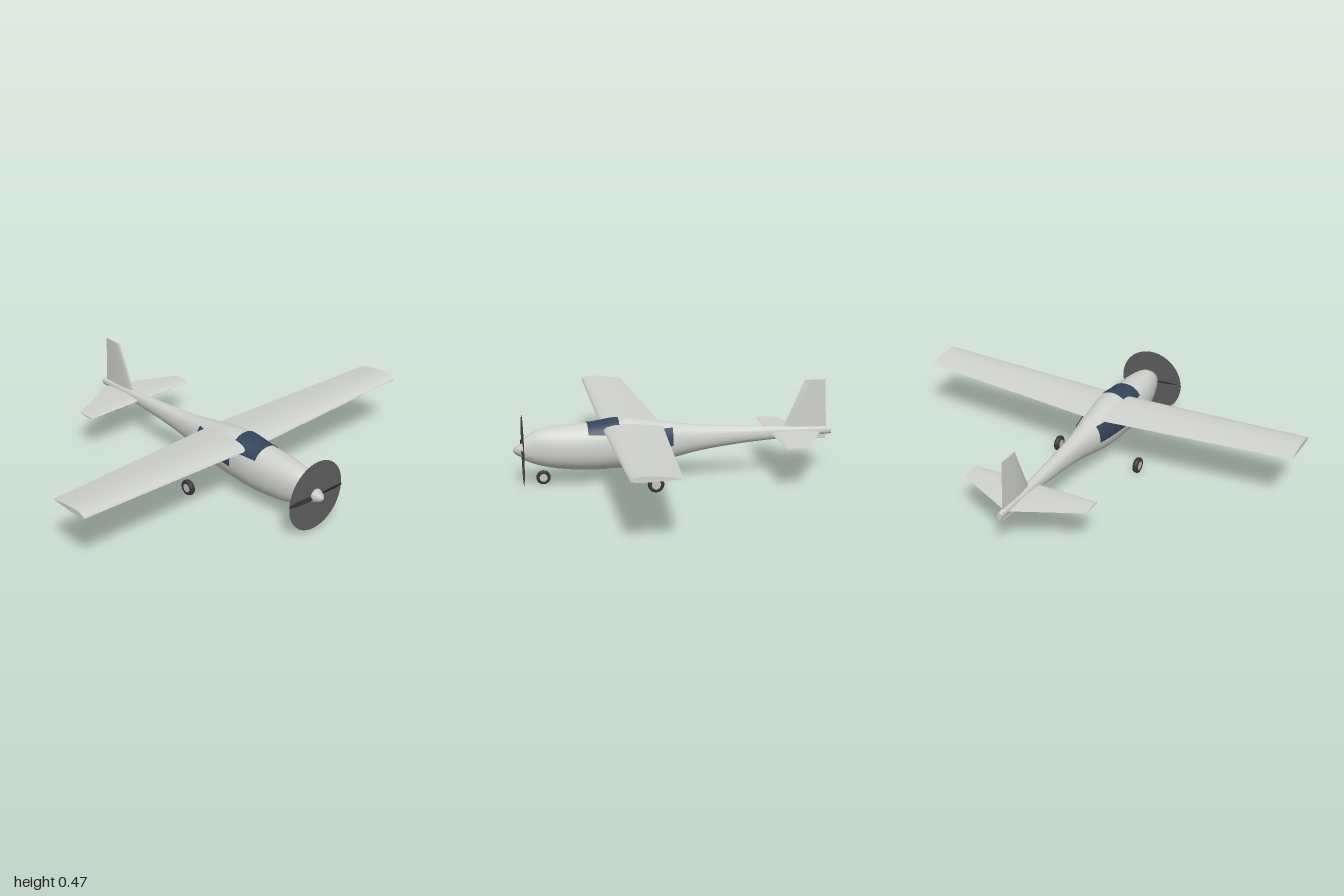
import * as THREE from 'three';
import { toCreasedNormals } from 'three/addons/utils/BufferGeometryUtils.js';
import { ParametricGeometry } from 'three/addons/geometries/ParametricGeometry.js';

const V = (x, y, z) => new THREE.Vector3(x, y, z);

function paint(name, color, side = THREE.FrontSide) {
  const m = new THREE.MeshStandardMaterial({ color, side });
  m.name = name;
  return m;
}

// Fuselage stations: z, top y, bottom y, half width
const STATIONS = [
  [-0.785, 0.225, 0.190, 0.012], [-0.6, 0.235, 0.180, 0.020], [-0.4, 0.245, 0.167, 0.030],
  [-0.2, 0.256, 0.146, 0.041], [-0.1, 0.264, 0.130, 0.049], [0, 0.277, 0.108, 0.064],
  [0.1, 0.294, 0.085, 0.081], [0.2, 0.309, 0.073, 0.091], [0.3, 0.311, 0.067, 0.096],
  [0.4, 0.296, 0.065, 0.096], [0.5, 0.290, 0.070, 0.091], [0.6, 0.282, 0.083, 0.077],
  [0.68, 0.264, 0.103, 0.056], [0.735, 0.228, 0.126, 0.036],
];
const profile = new THREE.CubicInterpolant(
  STATIONS.map(s => s[0]), STATIONS.flatMap(s => s.slice(1)), 3, new Float32Array(3));
const POWER = 2 / 2.2;

// Point on the rounded fuselage skin, pushed out by gap
function skin(z, angle, gap = 0) {
  const [top, bottom, half] = profile.evaluate(z);
  const c = Math.cos(angle), s = Math.sin(angle);
  return V(
    Math.sign(c) * Math.abs(c) ** POWER * (half + gap),
    (top + bottom) / 2 + Math.sign(s) * Math.abs(s) ** POWER * ((top - bottom) / 2 + gap), z);
}

// Angle at which the skin reaches height y
function angleAt(z, y) {
  const [top, bottom] = profile.evaluate(z);
  const k = THREE.MathUtils.clamp((2 * y - top - bottom) / (top - bottom), -1, 1);
  return Math.asin(Math.sign(k) * Math.abs(k) ** (1 / POWER));
}

// Closed solid through rings of equal length, with end caps facing outwards
function loft(rings, crease = 0.7) {
  const n = rings[0].length, pts = rings.flat(), index = [];
  for (let r = 0; r < rings.length - 1; r++) {
    for (let i = 0; i < n; i++) {
      const a = r * n + i, b = r * n + (i + 1) % n;
      index.push(a, b, a + n, b, b + n, a + n);
    }
  }
  [0, rings.length - 1].forEach((r, end) => {
    const mid = pts.length;
    pts.push(rings[r].reduce((sum, p) => sum.add(p), V(0, 0, 0)).divideScalar(n));
    for (let i = 0; i < n; i++) {
      const a = r * n + i, b = r * n + (i + 1) % n;
      index.push(...(end ? [mid, a, b] : [mid, b, a]));
    }
  });
  let volume = 0;
  for (let i = 0; i < index.length; i += 3) {
    volume += pts[index[i]].dot(V(0, 0, 0).crossVectors(pts[index[i + 1]], pts[index[i + 2]]));
  }
  if (volume < 0) index.reverse();
  const geo = new THREE.BufferGeometry().setFromPoints(pts);
  geo.setIndex(index);
  return toCreasedNormals(geo, crease);
}

// Aerofoil ring: place(u, h) gets chord fraction and height in chord lengths
function aerofoil(thick, upper, lower, place, steps = 14) {
  const ring = [];
  for (let i = 0; i < steps * 2; i++) {
    const u = (1 - Math.cos(Math.PI * i / steps)) / 2;
    const h = 5 * thick * (0.2969 * Math.sqrt(u) - 0.126 * u - 0.3516 * u ** 2
      + 0.2843 * u ** 3 - 0.1036 * u ** 4);
    ring.push(place(u, i <= steps ? h * upper : -h * lower));
  }
  return ring;
}

export function createModel() {
  const model = new THREE.Group();
  model.name = 'lightAircraft';
  const body = paint('body grey', 0xd0d2ce);
  const glass = paint('window blue', 0x34455a, THREE.DoubleSide);
  const discGrey = paint('disc grey', 0x5e5e60, THREE.DoubleSide);
  const dark = paint('propeller black', 0x303032);
  const rubber = paint('tyre black', 0x38383a);
  const metal = paint('hub grey', 0xc4c4c4);

  function add(name, geo, mat, parent = model) {
    const mesh = new THREE.Mesh(geo, mat);
    mesh.name = name;
    parent.add(mesh);
    return mesh;
  }

  // Fuselage
  const rings = [];
  for (let i = 0; i <= 56; i++) {
    const z = -0.785 + 1.52 * i / 56;
    rings.push(Array.from({ length: 40 }, (_, k) => skin(z, k / 40 * Math.PI * 2)));
  }
  add('fuselage', loft(rings), body);

  // Windscreen wraps over the top; side windows sit under the wing
  add('windscreen', new ParametricGeometry((u, v, out) => {
    const z = 0.28 + 0.15 * v, a = angleAt(z, 0.25);
    out.copy(skin(z, a + (Math.PI - 2 * a) * u, 0.003));
  }, 32, 8), glass);
  for (const side of [1, -1]) {
    add(side > 0 ? 'leftWindow' : 'rightWindow', new ParametricGeometry((u, v, out) => {
      const z = 0.02 + 0.26 * v;
      const y = THREE.MathUtils.lerp(0.18 - 0.012 * v, 0.262, u);
      out.copy(skin(z, angleAt(z, y), 0.004));
      out.x *= side;
    }, 10, 16), glass);
  }

  // Wing: straight leading edge, swept trailing edge, slight dihedral
  add('wing', loft([-1, 0, 1].map(x => {
    const s = Math.abs(x), chord = 0.294 - 0.076 * s;
    return aerofoil(0.12, 1.4, 0.6, (u, h) =>
      V(x, 0.266 + 0.03 * s + h * chord + 0.006 * u * (1 - s), 0.358 - u * chord));
  })), body);

  // Tailplane
  add('tailplane', loft([-0.32, 0, 0.32].map(x => {
    const s = Math.abs(x) / 0.32, chord = 0.257 - 0.155 * s;
    return aerofoil(0.075, 1, 1, (u, h) => V(x, 0.205 + h * chord, -0.478 - u * chord));
  })), body);

  // Fin: height, leading edge z, trailing edge z
  add('fin', loft([[0.167, -0.59, -0.76], [0.235, -0.542, -0.76], [0.465, -0.645, -0.75]]
    .map(([y, front, back]) => aerofoil(0.08, 1, 1, (u, h) =>
      V(h * (front - back), y, front + (back - front) * u)))), body);

  // Propeller with spinner, two twisted blades and spinning disc
  const propeller = new THREE.Group();
  propeller.name = 'propeller';
  propeller.position.set(0, 0.173, 0.738);
  model.add(propeller);
  const nose = [[0.034, -0.006], [0.033, 0.004], [0.028, 0.018], [0.019, 0.033], [0.009, 0.043], [0, 0.047]];
  add('spinner', new THREE.LatheGeometry(nose.map(p => new THREE.Vector2(...p)), 28)
    .rotateX(Math.PI / 2), metal, propeller);
  add('propellerDisc', new THREE.CircleGeometry(0.17, 56), discGrey, propeller);
  const blade = loft([[0.01, 0.022, 0.9], [0.06, 0.026, 0.6], [0.12, 0.022, 0.35], [0.17, 0.01, 0.2]]
    .map(([x, chord, twist]) => aerofoil(0.16, 1, 1, (u, h) => {
      const a = (u - 0.5) * chord, b = h * chord;
      return V(x, a * Math.cos(twist) - b * Math.sin(twist), 0.003 + a * Math.sin(twist) + b * Math.cos(twist));
    }, 6)));
  for (const turn of [0, Math.PI]) {
    add('propellerBlade', blade, dark, propeller).rotation.z = turn - 0.03;
  }

  // Wheels: rounded tyre with a hub showing on both sides
  function wheel(name, x, z, r, half) {
    const group = new THREE.Group();
    group.name = name;
    group.position.set(x, r, z);
    model.add(group);
    const tyre = [[0.5, -0.8], [0.75, -1], [0.92, -0.75], [1, -0.3], [1, 0.3], [0.92, 0.75], [0.75, 1], [0.5, 0.8]]
      .map(([a, b]) => new THREE.Vector2(a * r, b * half));
    add('tyre', new THREE.LatheGeometry(tyre, 28).rotateZ(Math.PI / 2), rubber, group);
    add('hub', new THREE.CylinderGeometry(r * 0.56, r * 0.56, half * 1.7, 24)
      .rotateZ(Math.PI / 2), metal, group);
  }
  wheel('noseWheel', 0, 0.643, 0.034, 0.013);
  wheel('leftWheel', 0.223, 0.13, 0.039, 0.014);
  wheel('rightWheel', -0.223, 0.13, 0.039, 0.014);

  return model;
}
